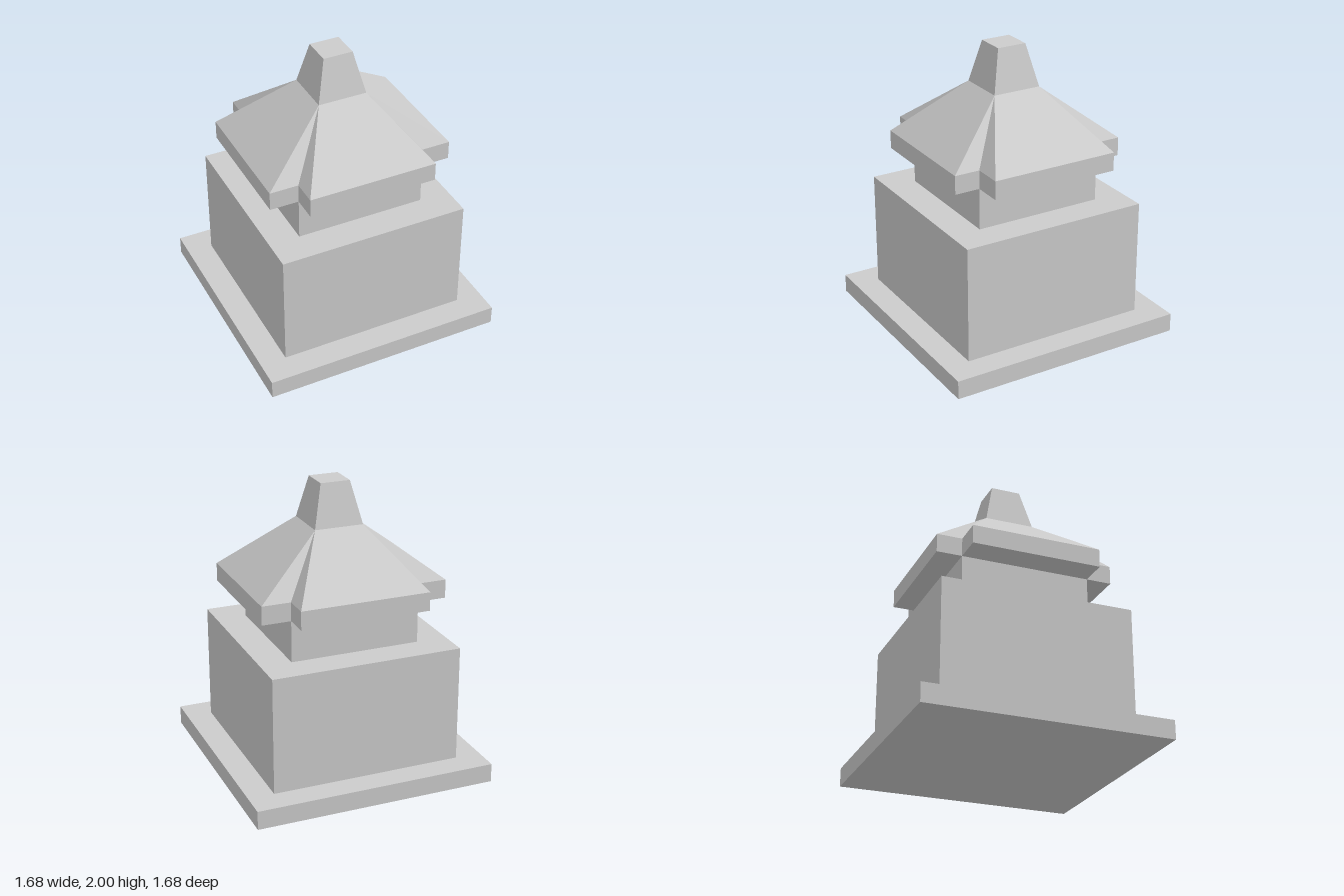
import * as THREE from 'three';

const material = new THREE.MeshStandardMaterial({ color: 0xcccccc, flatShading: true });

function addMesh(group, name, geometry) {
  const mesh = new THREE.Mesh(geometry, material);
  mesh.name = name;
  group.add(mesh);
}

// Square block or taper given by half widths and heights
function squareTier(bottomHalf, topHalf, y0, y1) {
  return new THREE.CylinderGeometry(topHalf * Math.SQRT2, bottomHalf * Math.SQRT2, y1 - y0, 4)
    .rotateY(Math.PI / 4)
    .translate(0, (y0 + y1) / 2, 0)
    .toNonIndexed();
}

// Cross-shaped eaves that rise and close to a square at the spire
function roofGeometry(core, eaveX, eaveZ, topHalf, yBottom, yEave, yTop) {
  const plan = [];
  for (const [sx, sz] of [[1, 1], [-1, 1], [-1, -1], [1, -1]]) {
    const corner = [[eaveX * sx, core * sz], [core * sx, core * sz], [core * sx, eaveZ * sz]];
    if (sx * sz < 0) corner.reverse();
    plan.push(...corner);
  }
  const rings = [
    plan.map(([x, z]) => new THREE.Vector3(x, yBottom, z)),
    plan.map(([x, z]) => new THREE.Vector3(x, yEave, z)),
    plan.map(([x, z]) => new THREE.Vector3(Math.sign(x) * topHalf, yTop, Math.sign(z) * topHalf)),
  ];
  const points = [];
  const n = plan.length;
  const centre = new THREE.Vector3(0, yBottom, 0);
  for (let i = 0; i < n; i++) {
    const j = (i + 1) % n;
    // Underside
    points.push(centre, rings[0][i], rings[0][j]);
    // Fascia, then slopes and valleys
    for (let k = 0; k < 2; k++) {
      const a = rings[k][i], b = rings[k][j], c = rings[k + 1][j], d = rings[k + 1][i];
      points.push(b, a, d);
      if (!c.equals(d)) points.push(b, d, c);
    }
  }
  const geometry = new THREE.BufferGeometry().setFromPoints(points);
  geometry.computeVertexNormals();
  return geometry;
}

export function createModel() {
  const group = new THREE.Group();
  group.name = 'shrineTower';
  addMesh(group, 'plinth', squareTier(0.838, 0.838, 0, 0.13));
  addMesh(group, 'body', squareTier(0.66, 0.66, 0.13, 0.937));
  addMesh(group, 'neck', squareTier(0.448, 0.448, 0.937, 1.222));
  addMesh(group, 'roof', roofGeometry(0.448, 0.647, 0.623, 0.17, 1.222, 1.35, 1.71));
  addMesh(group, 'spire', squareTier(0.17, 0.103, 1.71, 2));
  return group;
}
